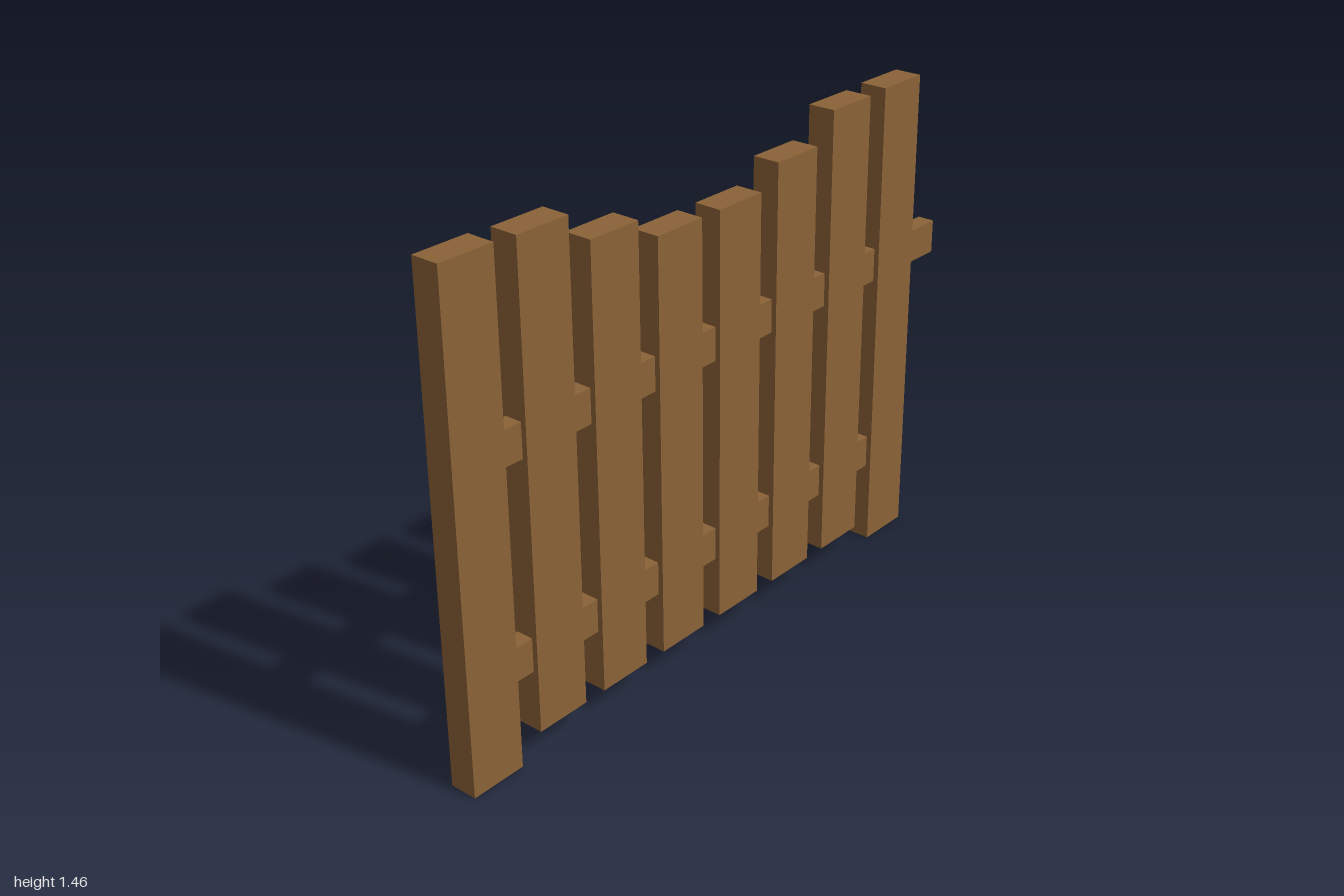
import * as THREE from 'three';

const wood = new THREE.MeshStandardMaterial({ color: 0x8b6237 });

// Box given by its extents in x and y, centred on z = 0
function board(name, x0, x1, y0, y1, depth) {
  const mesh = new THREE.Mesh(new THREE.BoxGeometry(x1 - x0, y1 - y0, depth), wood);
  mesh.position.set((x0 + x1) / 2, (y0 + y1) / 2, 0);
  mesh.name = name;
  return mesh;
}

export function createModel() {
  const fence = new THREE.Group();
  fence.name = 'fence';

  // Upright boards: tall end posts, pickets dipping towards the middle
  const tops = [1.462, 1.457, 1.372, 1.308];
  const width = 0.171, pitch = 0.2422, count = 8;
  for (let i = 0; i < count; i++) {
    const step = Math.min(i, count - 1 - i);
    const x = -1 + i * pitch;
    const isPost = step === 0;
    fence.add(board(isPost ? 'endPost' : 'picket', x, x + width, isPost ? 0 : 0.07, tops[step], 0.084));
  }

  // Cross rails: the upper one runs on past the left post
  fence.add(board('upperRail', -0.92, 1, 0.872, 0.973, 0.052));
  fence.add(board('lowerRail', -0.92, 0.78, 0.252, 0.353, 0.052));

  return fence;
}
